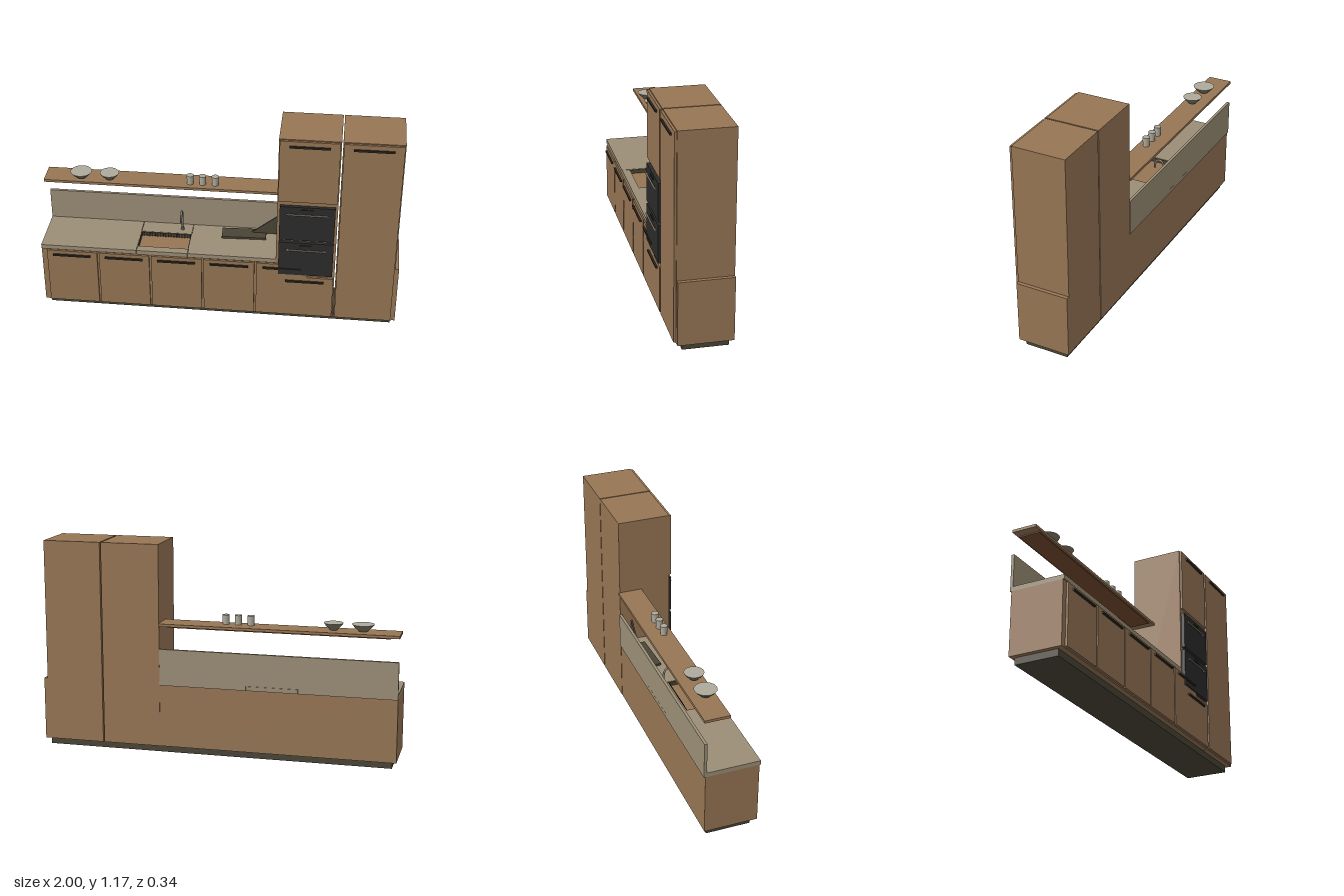
import * as THREE from 'three';

const mat = (name, color, opts = {}) => {
  const m = new THREE.MeshStandardMaterial({ color, ...opts });
  m.name = name;
  return m;
};

export function createModel() {
  const wood = mat('wood', 0x967554);
  const darkWood = mat('dark wood', 0x75492f);
  const stone = mat('worktop stone', 0x9b8e76);
  const plinthMat = mat('plinth', 0x4a4436);
  const black = mat('oven black', 0x2b2b2b);
  const handleMat = mat('handle', 0x2e2822);
  const steel = mat('steel', 0x7d7668);
  const ceramic = mat('ceramic', 0xaeaa9c);

  const root = new THREE.Group();
  root.name = 'kitchen';

  const add = (name, geometry, material, parent = root) => {
    const m = new THREE.Mesh(geometry, material);
    m.name = name;
    parent.add(m);
    return m;
  };
  // Box given by its lower and upper limits
  const box = (name, material, x0, x1, y0, y1, z0, z1, parent = root) => {
    const m = add(name, new THREE.BoxGeometry(x1 - x0, y1 - y0, z1 - z0), material, parent);
    m.position.set((x0 + x1) / 2, (y0 + y1) / 2, (z0 + z1) / 2);
    return m;
  };
  // Door panel with a long bar handle near its top edge
  const door = (name, x0, x1, y0, y1, handleY) => {
    const g = new THREE.Group();
    g.name = name;
    root.add(g);
    box('doorPanel', wood, x0, x1, y0, y1, 0.136, 0.148, g);
    const c = (x0 + x1) / 2;
    box('doorHandle', handleMat, c - 0.107, c + 0.107, handleY - 0.005, handleY + 0.005, 0.15, 0.16, g);
    for (const s of [-1, 1])
      box('handleFoot', handleMat, c + s * 0.09 - 0.004, c + s * 0.09 + 0.004,
        handleY - 0.004, handleY + 0.004, 0.147, 0.152, g);
  };

  // Plinth and cabinet bodies
  box('plinth', plinthMat, -0.975, 0.975, 0, 0.04, -0.14, 0.105);
  box('baseCabinet', wood, -1, 0.32, 0.038, 0.39, -0.16, 0.135);
  box('ovenTower', wood, 0.32, 0.648, 0.038, 1.175, -0.162, 0.135);
  box('pantryTower', wood, 0.655, 0.98, 0.038, 1.175, -0.162, 0.135);
  box('endPanel', wood, 0.98, 1, 0.038, 0.39, -0.162, 0.133);

  // Doors
  for (let i = 0; i < 5; i++) {
    const x = -0.968 + i * 0.2955;
    door('baseDoor', x, x + 0.284, 0.045, 0.385, 0.36);
  }
  door('towerLowerDoor', 0.325, 0.643, 0.045, 0.305, 0.28);
  door('towerUpperDoor', 0.325, 0.643, 0.797, 1.17, 1.14);
  door('pantryDoor', 0.66, 0.975, 0.045, 1.17, 1.14);

  // Two stacked ovens
  for (const y of [0.325, 0.556]) {
    const oven = new THREE.Group();
    oven.name = 'oven';
    root.add(oven);
    box('ovenFront', black, 0.335, 0.635, y, y + 0.214, 0.13, 0.154, oven);
    box('ovenDisplay', handleMat, 0.45, 0.515, y + 0.188, y + 0.2, 0.154, 0.158, oven);
    const bar = add('ovenHandle', new THREE.CylinderGeometry(0.005, 0.005, 0.23, 12), steel, oven);
    bar.rotation.z = Math.PI / 2;
    bar.position.set(0.485, y + 0.169, 0.163);
    for (const x of [0.385, 0.585])
      box('ovenHandleFoot', steel, x - 0.004, x + 0.004, y + 0.165, y + 0.173, 0.152, 0.163, oven);
  }

  // Worktop in three lengths, the middle one open for the sink
  box('worktopRight', stone, -1, -0.461, 0.39, 0.415, -0.168, 0.142);
  box('worktopLeft', stone, -0.171, 0.32, 0.39, 0.415, -0.168, 0.142);
  box('worktopSinkFront', stone, -0.459, -0.173, 0.39, 0.414, 0.095, 0.141);
  box('worktopSinkBack', stone, -0.459, -0.173, 0.39, 0.414, -0.168, -0.055);
  box('splashback', stone, -1, 0.318, 0.415, 0.595, -0.168, -0.152);

  // Sink lining and its slotted back edge
  const sink = new THREE.Group();
  sink.name = 'sink';
  root.add(sink);
  box('sinkSide', plinthMat, -0.461, -0.456, 0.39, 0.413, -0.055, 0.095, sink);
  box('sinkSide', plinthMat, -0.176, -0.171, 0.39, 0.413, -0.055, 0.095, sink);
  box('sinkBack', plinthMat, -0.456, -0.176, 0.39, 0.413, -0.055, -0.051, sink);
  for (let i = 0; i < 18; i++) {
    const x = -0.448 + i * 0.0155;
    box('drainSlot', handleMat, x, x + 0.007, 0.39, 0.412, -0.051, -0.046, sink);
  }

  // Arched tap
  const V = (y, z) => new THREE.Vector3(-0.23, y, z);
  const tapPath = new THREE.CatmullRomCurve3([
    V(0.415, -0.1), V(0.47, -0.1), V(0.52, -0.098), V(0.546, -0.082),
    V(0.546, -0.06), V(0.525, -0.045), V(0.495, -0.043)]);
  add('tap', new THREE.TubeGeometry(tapPath, 32, 0.006, 10), steel);
  add('tapBase', new THREE.CylinderGeometry(0.01, 0.01, 0.012, 16), steel).position.set(-0.23, 0.42, -0.1);

  // Folding tablet: flat base and a leaning lid
  const base = box('tabletBase', plinthMat, 0, 0.25, 0.415, 0.427, -0.125, -0.035);
  base.rotation.y = 0.04;
  const lid = new THREE.Shape([
    new THREE.Vector2(0.165, 0.425), new THREE.Vector2(0.316, 0.425), new THREE.Vector2(0.316, 0.547)]);
  add('tabletLid', new THREE.ExtrudeGeometry(lid, { depth: 0.008, bevelEnabled: false }), plinthMat).position.z = -0.1;

  // Wall shelf
  box('shelf', wood, -1, 0.32, 0.723, 0.738, -0.17, -0.032);
  box('shelfRail', darkWood, -0.95, 0.27, 0.717, 0.723, -0.16, -0.042);

  // Bowls and cups on the shelf
  for (const [x, r] of [[-0.795, 0.06], [-0.635, 0.053]]) {
    const profile = [[0, 0], [r * 0.45, 0], [r * 0.45, 0.004], [r * 0.8, 0.022], [r, 0.038]]
      .map(([a, b]) => new THREE.Vector2(a, b));
    add('bowl', new THREE.LatheGeometry(profile, 32), steel).position.set(x, 0.738, -0.084);
    const top = add('bowlFilling', new THREE.CircleGeometry(r, 32), ceramic);
    top.rotation.x = -Math.PI / 2;
    top.position.set(x, 0.776, -0.084);
  }
  for (const x of [-0.18, -0.11, -0.04])
    add('cup', new THREE.CylinderGeometry(0.02, 0.018, 0.053, 24), ceramic).position.set(x, 0.7645, -0.08);

  return root;
}
